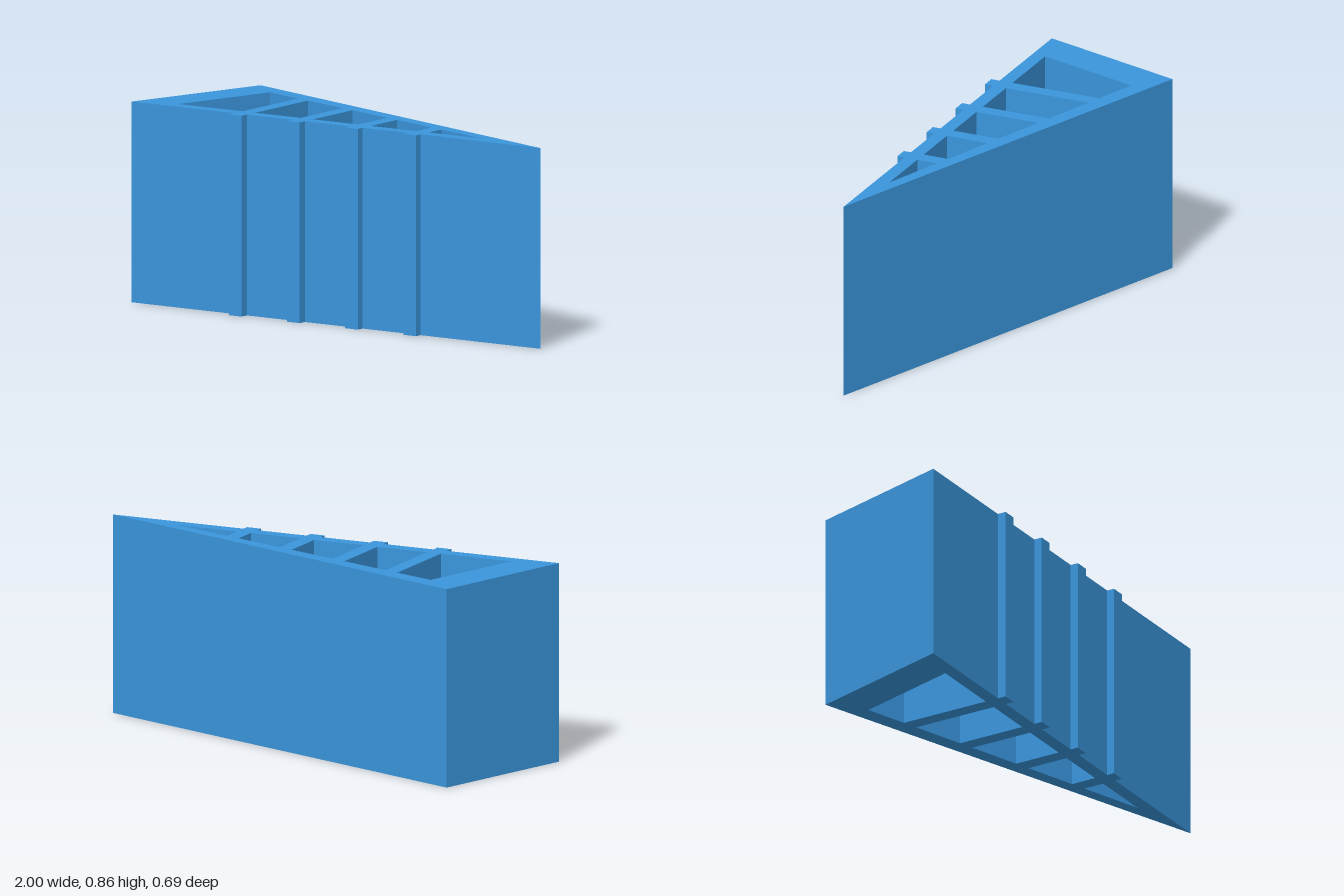
import * as THREE from 'three';

const HEIGHT = 0.857;
const RIBS = 4;

// Plan lines are written as z = a + b * x
const frontOuter = { a: 0.343 - 0.3145, b: -0.3145 };
const frontInner = { a: 0.227 - 0.3145 * 0.83, b: -0.3145 };
const backInner = { a: -0.252, b: 0.0125 };
const INNER_LEFT = -0.83;
const LEAN = 0.303; // rib lean: x per unit of z

// Point where a rib side through p meets a wall line
function meet(p, wall) {
  const z = (wall.a + wall.b * (p[0] - LEAN * p[1])) / (1 - wall.b * LEAN);
  return [p[0] + LEAN * (z - p[1]), z];
}

const at = (wall, x) => [x, wall.a + wall.b * x];
const toPoints = (list) => list.map(([x, z]) => new THREE.Vector2(x, -z));

export function createModel() {
  const group = new THREE.Group();
  group.name = 'ribbedWedge';

  // Outer corners of each rib's protruding tip
  const ribs = [];
  for (let i = 0; i < RIBS; i++) {
    const x = -0.487 + i * 0.283;
    const z = 0.222 - i * 0.0908;
    ribs.push({ left: [x, z], right: [x + 0.062, z - 0.0195] });
  }

  // Triangular outline with the rib tips standing out of the sloping front
  const outline = [[-1, -0.343], [-1, 0.343]];
  for (const { left, right } of ribs) {
    outline.push(meet(left, frontOuter), left, right, meet(right, frontOuter));
  }
  outline.push([1, -0.286]);
  const shape = new THREE.Shape(toPoints(outline));

  // Open cells between neighbouring ribs, ending in a pointed one
  const tipX = (frontInner.a - backInner.a) / (backInner.b - frontInner.b);
  for (let i = 0; i <= RIBS; i++) {
    const start = i === 0
      ? [at(backInner, INNER_LEFT), at(frontInner, INNER_LEFT)]
      : [meet(ribs[i - 1].right, backInner), meet(ribs[i - 1].right, frontInner)];
    const end = i === RIBS
      ? [at(backInner, tipX)]
      : [meet(ribs[i].left, frontInner), meet(ribs[i].left, backInner)];
    shape.holes.push(new THREE.Path(toPoints([...start, ...end])));
  }

  // Raise the plan into the upright block
  const geometry = new THREE.ExtrudeGeometry(shape, { depth: HEIGHT, bevelEnabled: false });
  geometry.rotateX(-Math.PI / 2);
  const material = new THREE.MeshStandardMaterial({ color: 0x3a95dc });
  const body = new THREE.Mesh(geometry, material);
  body.name = 'wedgeBody';
  group.add(body);
  return group;
}
